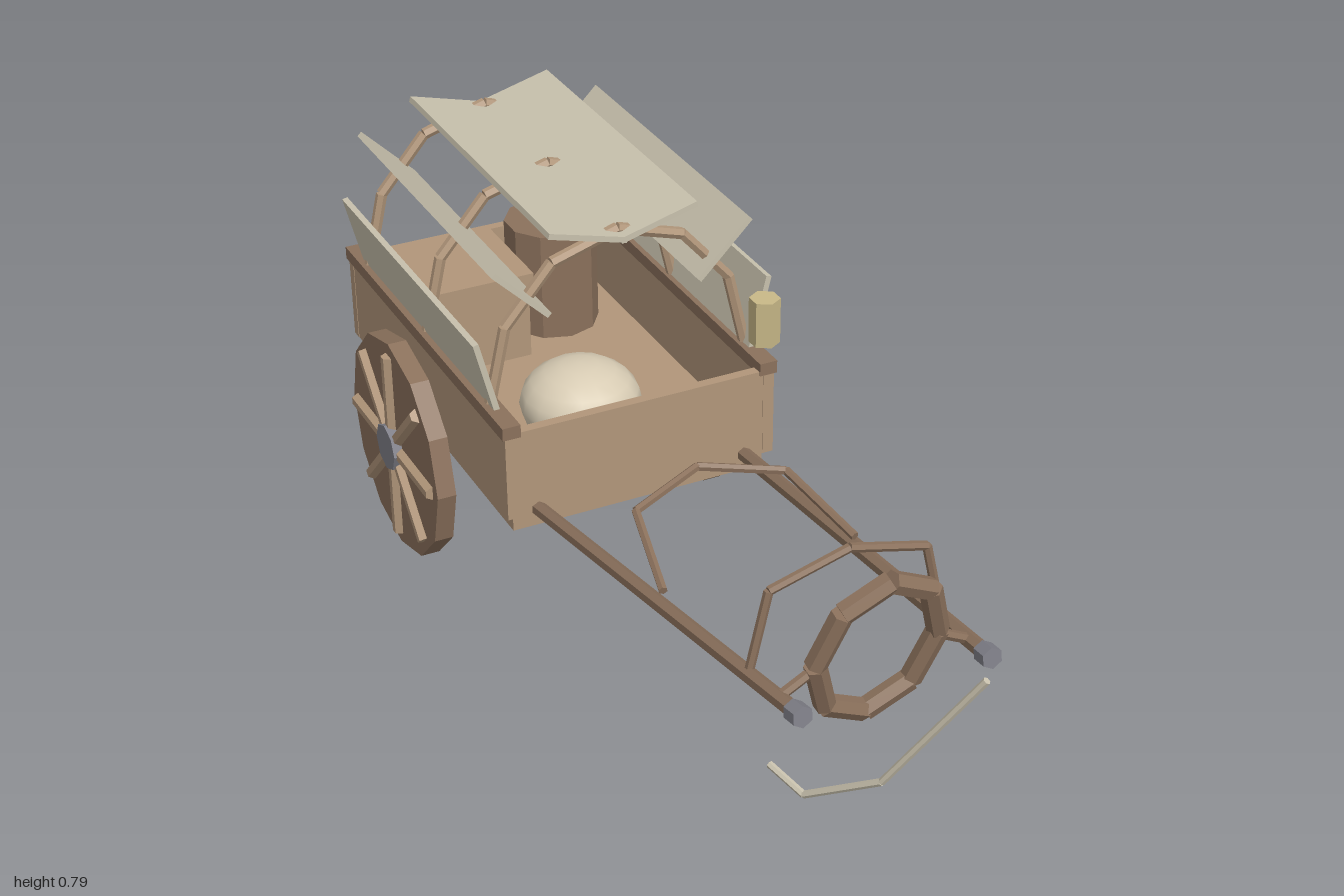
import * as THREE from 'three';
import { toCreasedNormals } from 'three/addons/utils/BufferGeometryUtils.js';

const mat = (name, color) => {
  const m = new THREE.MeshStandardMaterial({ color });
  m.name = name;
  return m;
};

export function createModel() {
  const root = new THREE.Group();
  root.name = 'handcart';
  const wood = mat('light wood', 0xb1967a);
  const darkWood = mat('dark wood', 0x8b715c);
  const canvas = mat('canvas', 0xc8c1ad);
  const metal = mat('iron', 0x7f7f88);
  const glow = mat('lantern', 0xc9b988);
  const cloth = mat('sackcloth', 0xd8ccb4);

  const V = (x, y, z) => new THREE.Vector3(x, y, z);
  const group = (name, parent = root) => {
    const g = new THREE.Group();
    g.name = name;
    parent.add(g);
    return g;
  };
  const add = (name, geo, material, x = 0, y = 0, z = 0, parent = root) => {
    const m = new THREE.Mesh(geo, material);
    m.name = name;
    m.position.set(x, y, z);
    parent.add(m);
    return m;
  };
  const box = (name, w, h, d, material, x, y, z, parent) =>
    add(name, new THREE.BoxGeometry(w, h, d), material, x, y, z, parent);
  const cyl = (r, h, sides) => toCreasedNormals(new THREE.CylinderGeometry(r, r, h, sides), 0.3);

  // Straight faceted bar between two points
  const bar = (name, a, b, r, material, parent, sides = 6) => {
    const dir = b.clone().sub(a);
    const mid = a.clone().add(b).multiplyScalar(0.5);
    const m = add(name, cyl(r, dir.length(), sides), material, mid.x, mid.y, mid.z, parent);
    m.quaternion.setFromUnitVectors(V(0, 1, 0), dir.normalize());
    return m;
  };
  const chain = (name, pts, r, material, parent, sides) => {
    for (let i = 1; i < pts.length; i++) bar(name, pts[i - 1], pts[i], r, material, parent, sides);
  };

  // Cart bed: floor, four walls, corner posts and side rails
  const bed = group('cartBed');
  const midZ = -0.605;
  box('floor', 0.506, 0.035, 0.75, wood, 0, 0.2625, midZ, bed);
  box('floorBoards', 0.52, 0.02, 0.76, wood, 0, 0.285, midZ, bed);
  for (const s of [-1, 1]) {
    box('sideWall', 0.02, 0.175, 0.77, wood, s * 0.257, 0.3675, midZ, bed);
    box('endWall', 0.506, 0.175, 0.02, wood, 0, 0.3675, midZ + s * 0.379, bed);
    box('sideRail', 0.035, 0.025, 0.785, darkWood, s * 0.2555, 0.46, midZ, bed);
    for (const e of [-1, 1])
      box('cornerPost', 0.022, 0.17, 0.022, wood, s * 0.257, 0.365, midZ + e * 0.379, bed);
  }

  // Wheels, hubs and axle
  const axleY = 0.22, axleZ = -0.645;
  bar('axle', V(-0.29, axleY, axleZ), V(0.29, axleY, axleZ), 0.017, metal, root, 8);
  for (const s of [-1, 1]) {
    const wheel = group('wheel');
    wheel.position.set(s * 0.304, axleY, axleZ);
    add('wheelDisc', cyl(0.22, 0.037, 12), darkWood, 0, 0, 0, wheel).rotation.z = Math.PI / 2;
    add('hub', cyl(0.047, 0.075, 8), metal, 0, 0, 0, wheel).rotation.z = Math.PI / 2;
    for (let i = 0; i < 4; i++) {
      const a = i * Math.PI / 4;
      const end = V(0, Math.cos(a) * 0.195, Math.sin(a) * 0.195);
      const off = V(s * 0.02, 0, 0);
      bar('spoke', end.clone().negate().add(off), end.clone().add(off), 0.014, wood, wheel);
    }
  }

  // Three roof hoops
  for (const z of [-0.31, -0.61, -0.91]) {
    const pts = [];
    for (let i = 0; i <= 6; i++) {
      const a = i * Math.PI / 6;
      pts.push(V(Math.cos(a) * 0.255, 0.47 + Math.sin(a) * 0.29, z));
    }
    chain('roofHoop', pts, 0.011, wood, group('hoop'));
  }

  // Canvas panels, given as [x, y, x, y] of their cross-section, mirrored
  const roof = group('canopy');
  for (const [x0, y0, x1, y1] of [
    [0.144, 0.789, -0.006, 0.749],
    [0.25, 0.738, 0.147, 0.636],
    [0.289, 0.611, 0.252, 0.462],
  ]) {
    for (const s of [-1, 1]) {
      const dx = s * (x1 - x0), dy = y1 - y0;
      box('canvasPanel', Math.hypot(dx, dy), 0.011, 0.652, canvas,
        s * (x0 + x1) / 2, (y0 + y1) / 2, midZ, roof).rotation.z = Math.atan2(dy, dx);
    }
  }

  // Cargo
  add('barrel', cyl(0.092, 0.235, 10), darkWood, 0.105, 0.4, -0.852);
  box('crate', 0.195, 0.18, 0.205, wood, -0.095, 0.375, -0.83);
  box('crateLid', 0.21, 0.02, 0.22, wood, -0.095, 0.467, -0.83);
  const sack = add('sack', new THREE.SphereGeometry(0.115, 16, 10), cloth, -0.03, 0.36, -0.42);
  sack.scale.y = 0.7;
  add('lantern', cyl(0.029, 0.09, 6), glow, 0.253, 0.555, -0.227);

  // Pulling shafts with iron caps
  for (const s of [-1, 1]) {
    const back = V(s * 0.208, 0.288, -0.22), tip = V(s * 0.17, 0.418, 0.665);
    const dir = tip.clone().sub(back).normalize();
    bar('shaft', back, tip, 0.014, darkWood);
    bar('shaftCap', tip, tip.clone().addScaledVector(dir, 0.03), 0.019, metal);
    bar('collarPin', V(s * 0.11, 0.445, 0.622), V(s * 0.172, 0.413, 0.622), 0.009, darkWood);
  }

  // Arches joining the shafts
  const arch = (name, foot, knee, top) => {
    const flip = (p) => V(-p.x, p.y, p.z);
    chain(name, [foot, knee, top, flip(knee), flip(foot)], 0.008, darkWood, group(name + 'Group'));
  };
  arch('frontArch', V(0.174, 0.405, 0.53), V(0.142, 0.545, 0.53), V(0, 0.583, 0.53));
  arch('rearArch', V(0.182, 0.38, 0.24), V(0.145, 0.423, 0.06), V(0, 0.44, 0.003));

  // Eight-sided harness collar leaning forward at the top
  const ring = [];
  for (let i = 0; i <= 8; i++) {
    const a = i * Math.PI / 4;
    ring.push(V(Math.sin(a) * 0.11, 0.454 + Math.cos(a) * 0.142, 0.625 + Math.cos(a) * 0.032));
  }
  chain('collarSegment', ring, 0.019, darkWood, group('collar'));

  // Loose rein ahead of the shafts
  chain('rein', [V(-0.045, 0.648, 0.995), V(-0.142, 0.424, 0.885),
    V(-0.21, 0.346, 0.775), V(-0.234, 0.367, 0.71)], 0.006, canvas, group('reins'));

  return root;
}
